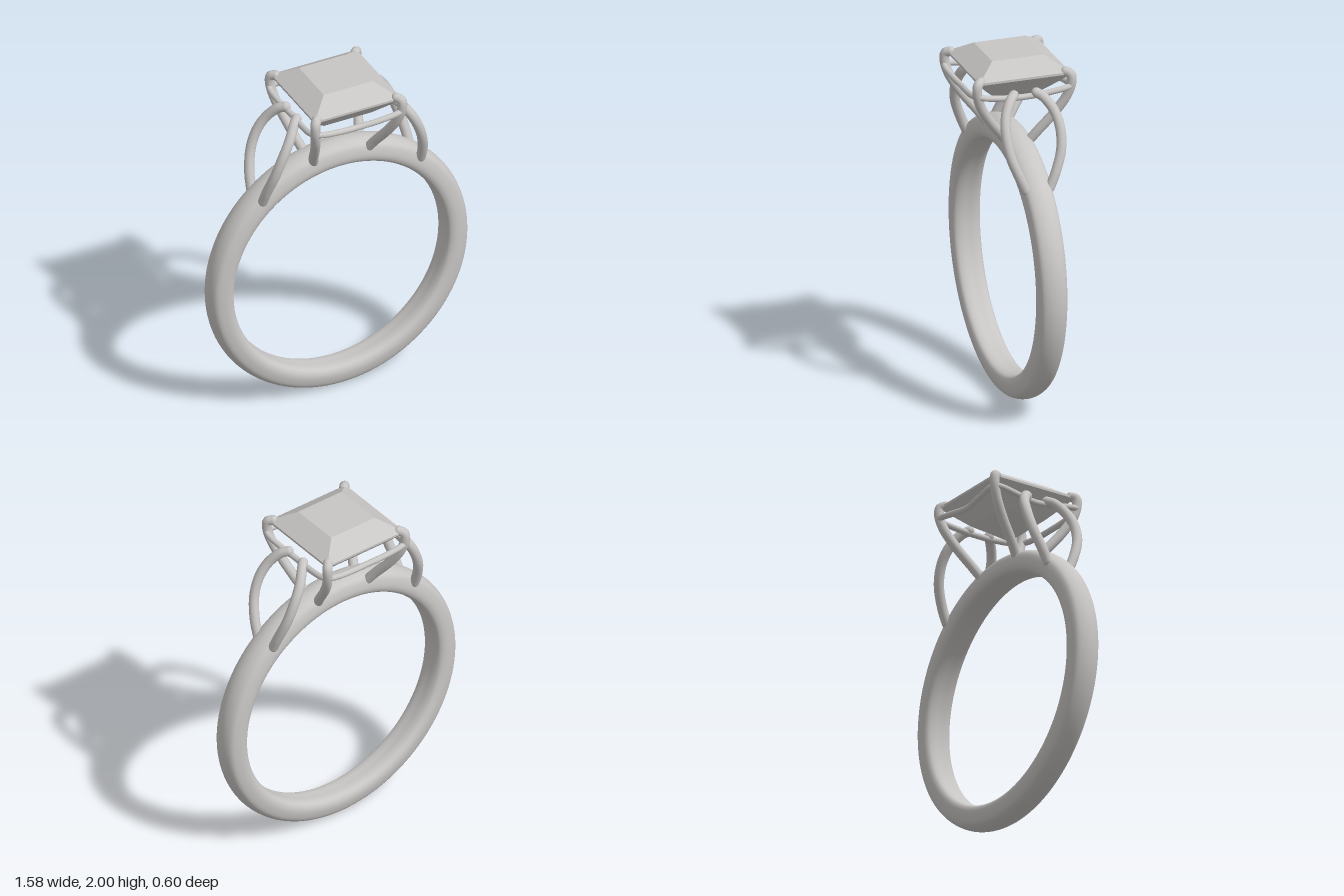
import * as THREE from 'three';

const V = (x, y, z) => new THREE.Vector3(x, y, z);

export function createModel() {
  const model = new THREE.Group();
  model.name = 'ring';
  const metal = new THREE.MeshStandardMaterial({ color: 0xc8c6c4 });
  metal.name = 'silver';
  const CZ = -0.008;

  function add(geometry, name, parent = model) {
    const mesh = new THREE.Mesh(geometry, metal);
    mesh.name = name;
    parent.add(mesh);
    return mesh;
  }

  // Round wire with rounded ends
  function wire(points, radius, name, closed = false) {
    const group = new THREE.Group();
    group.name = name;
    const curve = new THREE.CatmullRomCurve3(points, closed);
    add(new THREE.TubeGeometry(curve, closed ? 160 : 48, radius, 14, closed), name + 'Tube', group);
    if (!closed) {
      for (const p of [points[0], points[points.length - 1]]) {
        add(new THREE.SphereGeometry(radius, 14, 10), name + 'End', group).position.copy(p);
      }
    }
    model.add(group);
  }

  // Band: domed outside, nearly flat inside, a little wider at the top
  const half = [[0.65, 0], [0.651, 0.045], [0.662, 0.073], [0.69, 0.086], [0.73, 0.083], [0.763, 0.07], [0.781, 0.04], [0.788, 0]];
  const loop = [
    ...half.map(([r, h]) => V(r, -h, 0)),
    ...half.slice(1, -1).reverse().map(([r, h]) => V(r, h, 0)),
  ];
  const section = new THREE.CatmullRomCurve3(loop, true).getPoints(56).map(p => new THREE.Vector2(p.x, p.y));
  const band = new THREE.LatheGeometry(section, 128);
  band.rotateX(Math.PI / 2);
  band.translate(0, 0.79, 0);
  const pos = band.attributes.position;
  for (let i = 0; i < pos.count; i++) {
    pos.setZ(i, pos.getZ(i) * (0.92 + 0.06 * pos.getY(i)) + CZ);
  }
  add(band, 'band');

  // Square cut stone: stacked square levels [half side, height]
  const levels = [[0.001, 1.69], [0.145, 1.795], [0.215, 1.862], [0.262, 1.912], [0.262, 1.925], [0.148, 2]];
  const corners = ([s, y]) => [V(s, y, s), V(s, y, -s), V(-s, y, -s), V(-s, y, s)];
  const verts = [];
  const quad = (a, b, c, d) => [a, b, c, a, c, d].forEach(p => verts.push(p.x, p.y, p.z));
  for (let i = 0; i < levels.length - 1; i++) {
    const lo = corners(levels[i]), hi = corners(levels[i + 1]);
    for (let k = 0; k < 4; k++) {
      const n = (k + 1) % 4;
      quad(lo[k], lo[n], hi[n], hi[k]);
    }
  }
  quad(...corners(levels[levels.length - 1]));
  const stone = new THREE.BufferGeometry();
  stone.setAttribute('position', new THREE.Float32BufferAttribute(verts, 3));
  stone.computeVertexNormals();
  stone.translate(0, 0, CZ - 0.004);
  add(stone, 'stone');

  // Four corner prongs and four bowed shoulder wires
  for (const sx of [-1, 1]) {
    for (const sz of [-1, 1]) {
      const place = ([x, y, z]) => V(sx * x, y, sz * z + CZ);
      wire([
        [0.165, 1.51, 0.055], [0.19, 1.58, 0.105], [0.225, 1.69, 0.19], [0.252, 1.79, 0.25],
        [0.265, 1.87, 0.272], [0.262, 1.915, 0.268], [0.242, 1.926, 0.245],
      ].map(place), 0.027, 'prong');
      wire([
        [0.482, 1.36, 0.07], [0.475, 1.44, 0.105], [0.447, 1.56, 0.147], [0.405, 1.67, 0.156],
        [0.355, 1.755, 0.138], [0.305, 1.82, 0.095], [0.275, 1.838, 0.065],
      ].map(place), 0.028, 'shoulderWire');
    }
  }

  // Wavy rail joining the prongs below the stone's edge
  const rail = [];
  for (let k = 0; k < 4; k++) {
    for (const [along, y, out] of [[-0.268, 1.85, 0.268], [-0.235, 1.845, 0.281], [-0.12, 1.828, 0.277], [0, 1.818, 0.267], [0.12, 1.828, 0.277], [0.235, 1.845, 0.281]]) {
      rail.push(V(along, y, out).applyAxisAngle(V(0, 1, 0), k * Math.PI / 2).add(V(0, 0, CZ)));
    }
  }
  wire(rail, 0.017, 'rail', true);

  return model;
}
